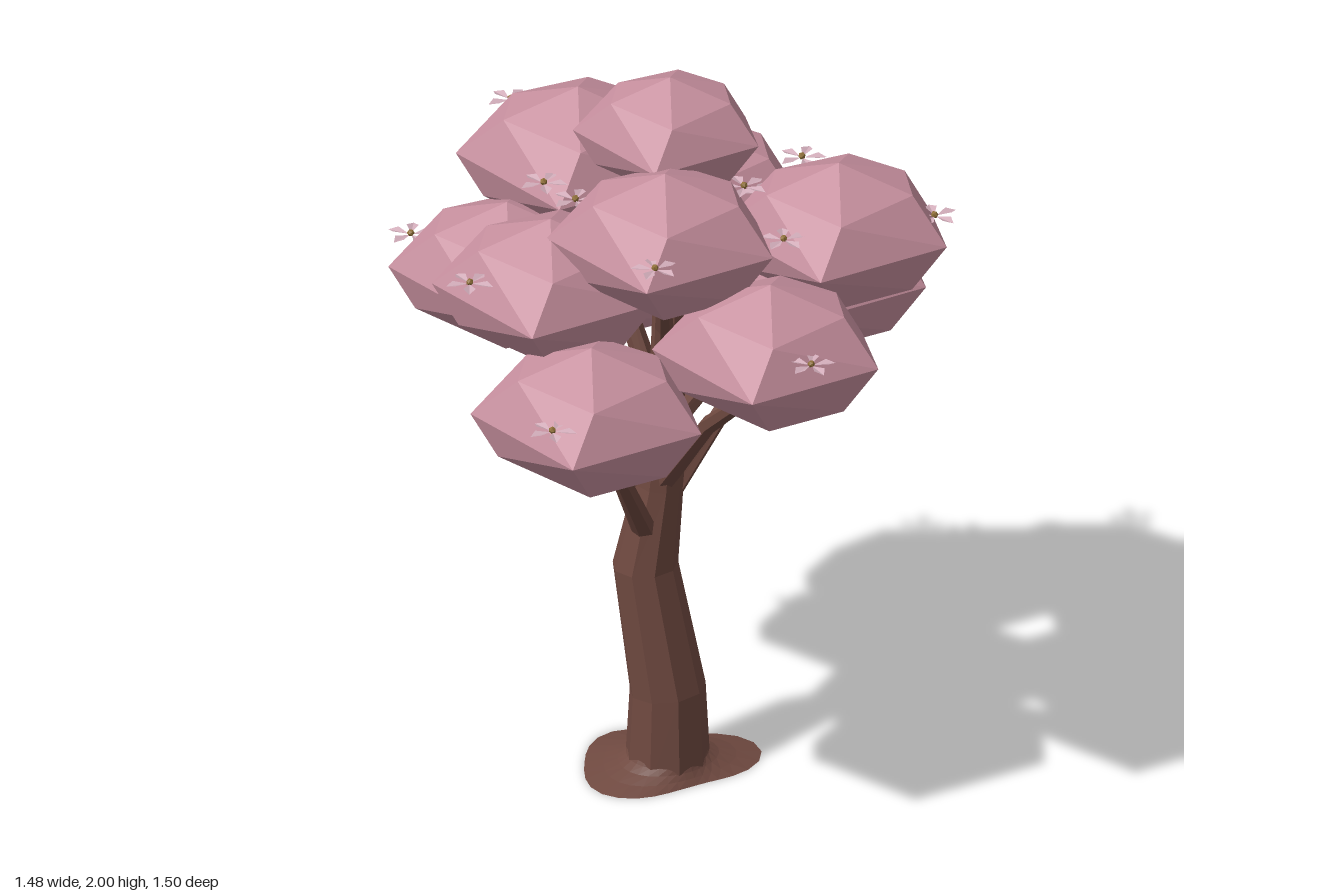
import * as THREE from 'three';
import { ConvexGeometry } from 'three/addons/geometries/ConvexGeometry.js';

const V = (x, y, z) => new THREE.Vector3(x, y, z);
const mat = (color, side = THREE.FrontSide) =>
  new THREE.MeshStandardMaterial({ color, flatShading: true, side });

// Centre and size of each leaf clump, top to bottom
const clumps = [
  [0, 1.835, -0.09, 0.82], [0.11, 1.68, 0.2, 1], [-0.32, 1.63, -0.23, 1.03],
  [0.43, 1.59, -0.19, 1], [-0.19, 1.51, 0.25, 1], [0.415, 1.43, 0.22, 1],
  [0.02, 1.28, 0.47, 1.02], [-0.42, 1.39, 0.0, 1], [-0.09, 1.46, -0.45, 1.02],
  [0.275, 1.34, -0.4, 1.02], [-0.345, 1.23, -0.42, 1.02],
];

// Flower positions on the clumps
const flowers = [
  [-0.13, 1.55, -0.7], [-0.51, 1.32, -0.61], [-0.56, 1.69, -0.36], [-0.12, 1.69, -0.39],
  [0.14, 1.55, -0.38], [0.24, 1.67, -0.4], [0.41, 1.48, -0.58], [0.66, 1.64, -0.29],
  [-0.69, 1.44, -0.01], [-0.3, 1.69, 0.03], [0.25, 1.78, 0], [0.37, 1.66, 0.02],
  [-0.15, 1.74, 0.17], [-0.33, 1.59, 0.44], [0.19, 1.74, 0.44], [0.59, 1.5, 0.35],
  [0.01, 1.35, 0.69],
];

// Trunk path: x, y, z, radius
const trunkPath = [
  [0, 0, -0.08, 0.112], [0, 0.23, -0.08, 0.1], [-0.06, 0.58, -0.075, 0.086],
  [-0.025, 0.82, -0.085, 0.064], [0, 1.15, -0.09, 0.05], [0, 1.65, -0.1, 0.035],
];

// Roots spreading from the foot: direction, extra reach
const roots = [[2.44, 0.13], [-2.0, 0.11], [-0.52, 0.1]];

// Point on the trunk centre line at a given height
function trunkAt(y) {
  const i = Math.max(1, trunkPath.findIndex(p => p[1] >= y));
  const a = V(...trunkPath[i - 1]), b = V(...trunkPath[i]);
  return a.lerp(b, (y - a.y) / (b.y - a.y));
}

// Faceted limb through [x, y, z, radius] points, closed at both ends
function limb(path, sides) {
  const pts = path.map(p => V(p[0], p[1], p[2]));
  const pos = [], index = [], up = V(0, 1, 0);
  pts.forEach((p, i) => {
    const dir = pts[Math.min(i + 1, pts.length - 1)].clone()
      .sub(pts[Math.max(i - 1, 0)]).normalize();
    const q = new THREE.Quaternion().setFromUnitVectors(up, i ? dir : up);
    for (let s = 0; s < sides; s++) {
      const a = (s / sides) * Math.PI * 2, r = path[i][3];
      const v = V(Math.sin(a) * r, 0, Math.cos(a) * r).applyQuaternion(q).add(p);
      pos.push(v.x, v.y, v.z);
    }
  });
  for (let i = 0; i < pts.length - 1; i++)
    for (let s = 0; s < sides; s++) {
      const a = i * sides + s, b = i * sides + (s + 1) % sides;
      index.push(a, b, b + sides, a, b + sides, a + sides);
    }
  const last = (pts.length - 1) * sides;
  for (let s = 1; s < sides - 1; s++)
    index.push(0, s + 1, s, last, last + s, last + s + 1);
  const g = new THREE.BufferGeometry();
  g.setAttribute('position', new THREE.Float32BufferAttribute(pos, 3));
  g.setIndex(index);
  g.computeVertexNormals();
  return g;
}

// Spreading foot of the trunk, drawn out along each root
function rootFlare() {
  const h = 0.06, g = new THREE.CylinderGeometry(0.1, 0.2, h, 30, 4);
  const p = g.attributes.position;
  for (let i = 0; i < p.count; i++) {
    const x = p.getX(i), z = p.getZ(i), y = p.getY(i) + h / 2;
    const t = 1 - y / h, a = Math.atan2(x, z);
    const edge = roots.reduce((sum, [dir, reach]) =>
      sum + reach * Math.max(0, Math.cos(a - dir)) ** 3, 0.13);
    const r = Math.hypot(x, z) < 1e-6 ? 0 : 0.1 + (edge - 0.1) * t * t;
    p.setXYZ(i, Math.sin(a) * r, y, Math.cos(a) * r);
  }
  g.computeVertexNormals();
  return g;
}

// Faceted clump: peak, shoulder, widest ring and underside
function clumpGeometry() {
  return new ConvexGeometry([
    [0, 0.2, -0.01],
    [0.19, 0.125, -0.05], [0.08, 0.11, 0.16], [-0.16, 0.12, 0.09],
    [-0.2, 0.115, -0.06], [-0.05, 0.13, -0.19], [0.12, 0.13, -0.16],
    [0.29, 0.0, -0.04], [0.07, 0.0, 0.27], [-0.29, 0.0, 0.09],
    [-0.28, 0.01, -0.05], [-0.21, 0.02, -0.19], [0.0, 0.0, -0.28], [0.18, 0.01, -0.19],
    [0.21, -0.12, 0.0], [0.07, -0.13, 0.16], [-0.21, -0.1, 0.1],
    [-0.17, -0.14, -0.09], [0.0, -0.12, -0.2], [0.15, -0.12, -0.14],
    [0.01, -0.18, -0.02],
  ].map(p => V(...p)));
}

// Pointed petal pointing to +z
function petalGeometry() {
  const g = new THREE.BufferGeometry();
  g.setAttribute('position', new THREE.Float32BufferAttribute([
    0, 0, 0.006, 0.016, 0.006, 0.042, 0, 0, 0.064, -0.016, 0.006, 0.042], 3));
  g.setIndex([0, 2, 1, 0, 3, 2]);
  g.computeVertexNormals();
  return g;
}

export function createModel() {
  const tree = new THREE.Group();
  tree.name = 'tree';
  const bark = mat(0x6f4940), leaf = mat(0xc68f9e);
  const petalMat = mat(0xd3aebb, THREE.DoubleSide), heart = mat(0x8f7038);
  const add = (parent, name, geometry, material) => {
    const m = new THREE.Mesh(geometry, material);
    m.name = name;
    parent.add(m);
    return m;
  };

  // Trunk and its foot
  add(tree, 'trunk', limb(trunkPath, 9), bark);
  add(tree, 'rootFlare', rootFlare(), bark).position.set(0, 0, -0.08);

  // Leaf clumps, each carried by a bent branch
  const clumpGeo = clumpGeometry();
  clumps.forEach(([x, y, z, s], i) => {
    const clump = add(tree, 'leafClump', clumpGeo, leaf);
    clump.position.set(x, y, z);
    clump.scale.setScalar(s);
    if (i === 0) return;
    const start = trunkAt(y - 0.63), end = V(x * 0.92, y - 0.12, z * 0.92);
    const mid = start.clone().lerp(end, 0.5);
    mid.y += 0.045;
    add(tree, 'branch', limb([
      [start.x, start.y, start.z, 0.036],
      [mid.x, mid.y, mid.z, 0.024],
      [end.x, end.y, end.z, 0.016],
    ], 6), bark);
  });

  // Five-petalled flowers
  const petalGeo = petalGeometry(), heartGeo = new THREE.IcosahedronGeometry(0.01, 0);
  flowers.forEach((p, i) => {
    const flower = new THREE.Group();
    flower.name = 'flower';
    flower.position.set(...p);
    flower.rotation.y = i * 0.9;
    for (let k = 0; k < 5; k++)
      add(flower, 'petal', petalGeo, petalMat).rotation.y = (k / 5) * Math.PI * 2;
    add(flower, 'flowerHeart', heartGeo, heart).position.y = 0.004;
    tree.add(flower);
  });
  return tree;
}
